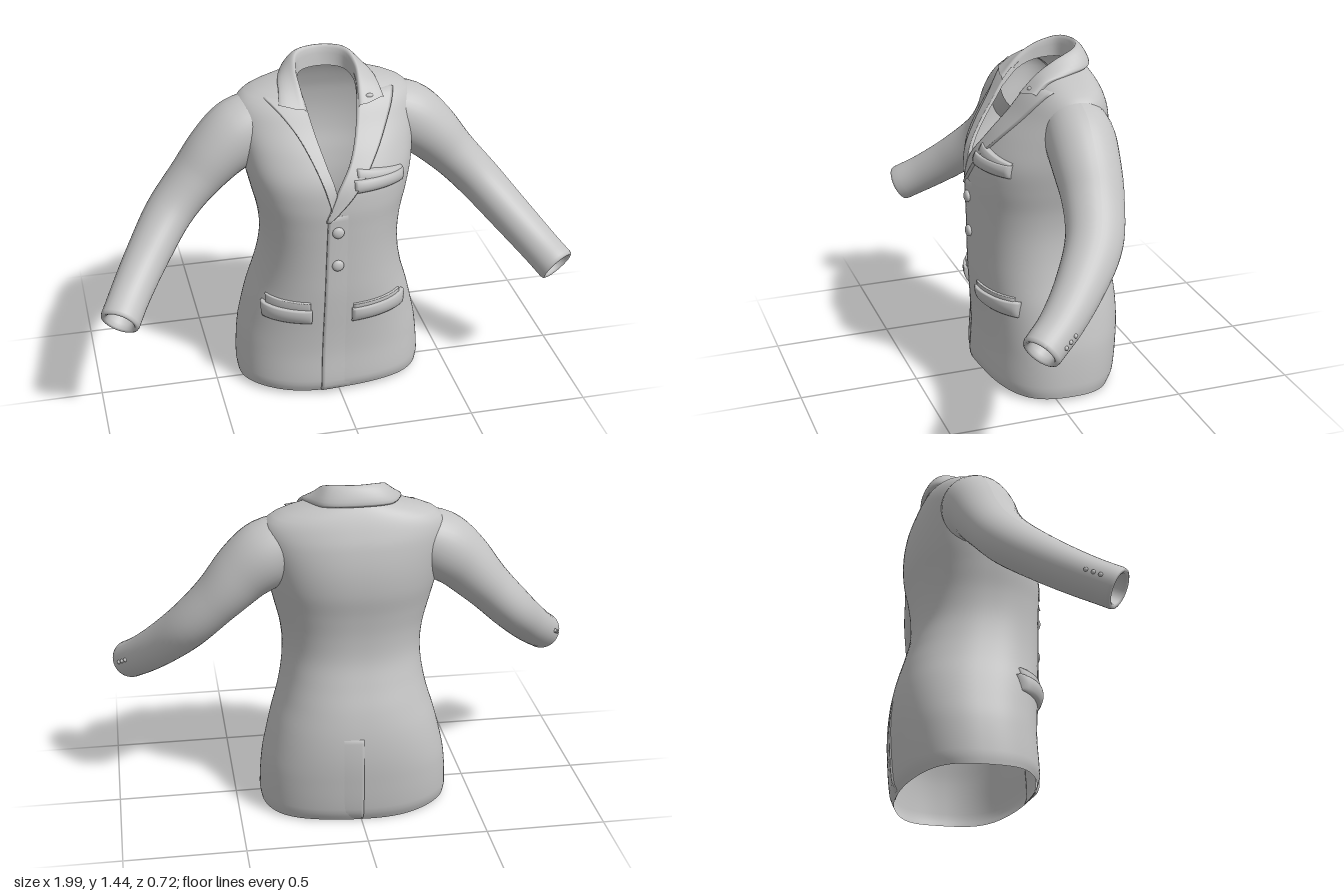
import * as THREE from 'three';

const cloth = new THREE.MeshStandardMaterial({ color: 0xc4c4c4, side: THREE.DoubleSide });
cloth.name = 'grey cloth';

// smooth lookup in a table of rows [key, a, b, ...]
function sample(rows, y) {
  let i = 0;
  while (i < rows.length - 2 && y > rows[i + 1][0]) i++;
  const p1 = rows[i], p2 = rows[i + 1];
  const p0 = rows[i - 1] || p1, p3 = rows[i + 2] || p2;
  const h = p2[0] - p1[0], t = THREE.MathUtils.clamp((y - p1[0]) / h, 0, 1);
  return p1.slice(1).map((a, k) => {
    const b = p2[k + 1];
    const ma = (b - p0[k + 1]) / (p2[0] - p0[0]) * h;
    const mb = (p3[k + 1] - a) / (p3[0] - p1[0]) * h;
    const t2 = t * t, t3 = t2 * t;
    return (2 * t3 - 3 * t2 + 1) * a + (t3 - 2 * t2 + t) * ma + (3 * t2 - 2 * t3) * b + (t3 - t2) * mb;
  });
}

// surface from a rule f(u, v) -> [x, y, z]
function surface(name, nu, nv, f) {
  const pos = [], idx = [];
  for (let j = 0; j <= nv; j++) for (let i = 0; i <= nu; i++) pos.push(...f(i / nu, j / nv));
  for (let j = 0; j < nv; j++) for (let i = 0; i < nu; i++) {
    const a = j * (nu + 1) + i, d = a + nu + 1;
    idx.push(a, a + 1, d, a + 1, d + 1, d);
  }
  const g = new THREE.BufferGeometry();
  g.setAttribute('position', new THREE.Float32BufferAttribute(pos, 3));
  g.setIndex(idx);
  g.computeVertexNormals();
  const m = new THREE.Mesh(g, cloth);
  m.name = name;
  return m;
}

// torso sections: height, half width, front z, back z
const body = [
  [0.01, 0.395, 0.215, -0.325], [0.05, 0.4, 0.228, -0.345], [0.2, 0.39, 0.222, -0.36],
  [0.3, 0.37, 0.225, -0.363], [0.4, 0.345, 0.232, -0.355], [0.5, 0.315, 0.238, -0.335],
  [0.6, 0.295, 0.24, -0.305], [0.7, 0.288, 0.242, -0.28], [0.8, 0.298, 0.245, -0.278],
  [0.9, 0.322, 0.247, -0.29], [1.0, 0.345, 0.232, -0.308], [1.1, 0.36, 0.178, -0.31],
  [1.2, 0.372, 0.105, -0.295], [1.26, 0.365, 0.063, -0.275], [1.3, 0.325, 0.03, -0.258],
  [1.33, 0.245, 0.0, -0.242], [1.355, 0.14, -0.03, -0.225],
];
const POW = 2.35;
// neck opening: height, centre, half gap
const opening = [[0.9, -0.03, 0], [0.965, -0.022, 0], [1.08, -0.005, 0.05], [1.19, 0, 0.086], [1.33, 0, 0.115], [1.36, 0, 0.118]];
const edgeX = (y, s) => { const [c, g] = sample(opening, y); return c + s * Math.max(g, 0); };

// point lying on the front (side 1) or back (side -1) of the torso
function onBody(x, y, off, side = 1) {
  const [w, zf, zb] = sample(body, y);
  const q = Math.min(Math.abs(x) / w, 0.985);
  const z = (zf + zb) / 2 + side * (zf - zb) / 2 * Math.pow(1 - Math.pow(q, POW), 1 / POW);
  const slope = q * q * q * 0.8;
  return [x + Math.sign(x) * off * slope, y, z + side * off];
}

// raised cloth panel; xs(v) -> [xMin, xMax], ys(u, v) -> height
function panel(name, xs, ys, lift, side = 1, nu = 20, nv = 20) {
  const snap = (k, n) => (k <= 1 / n ? 0 : k >= 1 - 1 / n ? 1 : (k - 1 / n) / (1 - 2 / n));
  return surface(name, nu, nv, (u, v) => {
    const rim = u === 0 || u === 1 || v === 0 || v === 1;
    const a = snap(u, nu), b = snap(v, nv);
    const [x0, x1] = xs(b);
    const x = side > 0 ? x0 + (x1 - x0) * a : x1 + (x0 - x1) * a;
    return onBody(x, ys(a, b), rim ? -0.006 : lift(a, b), side);
  });
}

function torso() {
  const top = 1.355, low = 0.01;
  return surface('jacketBody', 96, 72, (u, v) => {
    const y = low + (top - low) * v;
    const [w, zf, zb] = sample(body, y);
    const ang = (s) => {
      const q = edgeX(y, s) / w;
      return Math.asin(Math.sign(q) * Math.pow(Math.min(Math.abs(q), 1), POW / 2));
    };
    const a0 = ang(1), a1 = Math.PI * 2 + ang(-1);
    const a = a0 + (a1 - a0) * u, s = Math.sin(a), c = Math.cos(a);
    const e = 2 / POW;
    const hem = Math.max(0, 1 - v * 14) * (0.008 * c + 0.003 * Math.sin(a * 5));
    return [w * Math.sign(s) * Math.abs(s) ** e, y + hem, (zf + zb) / 2 + (zf - zb) / 2 * Math.sign(c) * Math.abs(c) ** e];
  });
}

function sleeve(side) {
  const group = new THREE.Group();
  group.name = side > 0 ? 'leftSleeve' : 'rightSleeve';
  const dz = side > 0 ? 0 : 0.03;
  const path = new THREE.CatmullRomCurve3([
    [0.26, 1.175, -0.1], [0.34, 1.14, -0.098], [0.435, 1.07, -0.09], [0.54, 0.96, -0.08], [0.66, 0.83, -0.04],
    [0.77, 0.705, 0.06 + dz * 0.4], [0.86, 0.605, 0.17 + dz * 0.8], [0.92, 0.54, 0.265 + dz],
  ].map((p) => new THREE.Vector3(...p)));
  // radius across and radius front to back along the sleeve
  const radii = [[0, 0.125, 0.125], [0.1, 0.14, 0.14], [0.23, 0.123, 0.135], [0.38, 0.102, 0.122],
    [0.55, 0.094, 0.112], [0.75, 0.087, 0.094], [0.92, 0.082, 0.082], [1, 0.082, 0.08]];
  const at = (t, scale, push, a) => {
    const P = path.getPointAt(t), T = path.getTangentAt(t);
    const B = new THREE.Vector3(0, 0, 1).addScaledVector(T, -T.z).normalize();
    const N = B.clone().cross(T);
    const [rn, rb] = sample(radii, t);
    P.addScaledVector(T, push).addScaledVector(N, rn * scale * Math.cos(a)).addScaledVector(B, rb * scale * Math.sin(a));
    return [P.x * side, P.y, P.z];
  };
  // outer cloth, rolled cuff, then the lining
  const rows = [];
  for (let i = 0; i <= 36; i++) rows.push([i / 36, 1, 0]);
  rows.push([1, 0.96, 0.012], [1, 0.86, 0.016], [1, 0.74, 0.01], [1, 0.68, -0.01], [0.93, 0.68, 0], [0.82, 0.7, 0]);
  const n = rows.length - 1;
  group.add(surface('sleeveCloth', 36, n, (u, v) => at(...rows[Math.round(v * n)], side * u * Math.PI * 2)));
  // cuff buttons
  for (let i = 0; i < 3; i++) {
    const b = new THREE.Mesh(new THREE.SphereGeometry(0.009, 10, 8), cloth);
    b.name = 'cuffButton';
    b.position.set(...at(0.9 + i * 0.028, 1, 0, -0.9));
    group.add(b);
  }
  return group;
}

function collar() {
  const line = (half) => {
    const pts = half.map((p) => new THREE.Vector3(...p));
    const other = pts.slice(0, -1).reverse().map((p) => new THREE.Vector3(-p.x, p.y, p.z));
    return new THREE.CatmullRomCurve3([...pts, ...other]);
  };
  // left front edge to centre back
  const lines = [
    line([[0.1, 1.24, 0.065], [0.112, 1.3, 0.0], [0.115, 1.33, -0.07], [0.085, 1.345, -0.155], [0, 1.35, -0.18]]),
    line([[0.112, 1.27, 0.07], [0.122, 1.345, 0.0], [0.125, 1.395, -0.075], [0.095, 1.428, -0.165], [0, 1.435, -0.2]]),
    line([[0.14, 1.275, 0.07], [0.15, 1.345, -0.005], [0.15, 1.385, -0.085], [0.115, 1.415, -0.19], [0, 1.422, -0.222]]),
    line([[0.215, 1.29, 0.045], [0.205, 1.33, -0.01], [0.192, 1.352, -0.1], [0.135, 1.362, -0.215], [0, 1.366, -0.246]]),
    line([[0.213, 1.275, 0.03], [0.2, 1.318, -0.02], [0.186, 1.335, -0.1], [0.13, 1.35, -0.205], [0, 1.354, -0.235]]),
  ];
  return surface('collar', 48, 16, (u, v) => {
    const k = new THREE.CatmullRomCurve3(lines.map((l) => l.getPoint(u)));
    return k.getPoint(1 - v).toArray();
  });
}

// lapel outer edges: height, x
const lapelEdges = {
  1: [[0.85, -0.055], [0.95, 0.04], [1.12, 0.165], [1.24, 0.235], [1.31, 0.265]],
  '-1': [[0.9, -0.045], [1.03, -0.085], [1.165, -0.145], [1.25, -0.205], [1.31, -0.265]],
};
function lapel(side) {
  const edge = lapelEdges[side], y0 = edge[0][0], y1 = 1.305;
  const height = (v) => y0 + (y1 - y0) * v;
  const xs = (v) => {
    const y = height(v), outer = sample(edge, y)[0];
    const inner = y < 0.965 ? Math.min(edgeX(y, side), -0.022 - (0.965 - y) * 0.4) : edgeX(y, side);
    return [Math.min(inner, outer), Math.max(inner, outer)];
  };
  return panel(side > 0 ? 'leftLapel' : 'rightLapel', xs, (u, v) => height(v),
    (u) => 0.008 + 0.008 * (side > 0 ? u : 1 - u), 1, 14, 36);
}

// pocket flap with a fuller lower edge
function flap(name, x0, x1, y0, y1, tilt, bulge) {
  return panel(name, () => [x0, x1], (u, v) => y0 + (y1 - y0) * v - tilt * u,
    (u, v) => 0.006 + bulge * Math.sin(Math.PI * Math.min(1, 0.3 + 0.7 * (1 - v))) ** 0.7 * (1 - 0.4 * Math.abs(2 * u - 1) ** 4), 1, 18, 12);
}

function button(x, y) {
  const b = new THREE.Mesh(new THREE.SphereGeometry(0.025, 20, 12), cloth);
  b.name = 'frontButton';
  b.scale.z = 0.55;
  b.position.set(...onBody(x, y, 0.01));
  return b;
}

export function createModel() {
  const jacket = new THREE.Group();
  jacket.name = 'jacket';
  jacket.add(torso(), collar(), sleeve(1), sleeve(-1), lapel(-1), lapel(1));

  // overlapping front edge
  jacket.add(panel('frontOverlap', (v) => [-0.085 + 0.025 * v, 0.06], (u, v) => 0.022 + 0.85 * v,
    (u) => 0.009 * (1 - u) - 0.004 * u, 1, 12, 40));
  // back vent
  jacket.add(panel('backVent', () => [-0.005, 0.11], (u, v) => 0.012 + 0.38 * v,
    (u, v) => (0.009 * u - 0.004 * (1 - u)) * (1 - v * 0.6), -1, 12, 24));

  jacket.add(
    flap('leftHipFlap', 0.045, 0.285, 0.358, 0.425, -0.004, 0.02),
    flap('rightHipFlap', -0.31, -0.125, 0.362, 0.43, 0, 0.02),
    flap('leftHipWelt', 0.05, 0.265, 0.415, 0.445, 0, 0.005),
    flap('rightHipWelt', -0.295, -0.13, 0.42, 0.465, 0, 0.005),
    flap('breastPocket', 0.05, 0.265, 0.965, 1.02, -0.003, 0.02),
    flap('breastPocketWelt', 0.065, 0.262, 1.012, 1.06, 0.03, 0.014),
    button(-0.02, 0.8), button(-0.02, 0.645),
  );

  // lapel pin
  const pin = new THREE.Mesh(new THREE.SphereGeometry(0.013, 12, 8), cloth);
  pin.name = 'lapelPin';
  pin.scale.set(1.4, 0.8, 0.8);
  pin.position.set(...onBody(0.155, 1.295, 0.018));
  jacket.add(pin);
  return jacket;
}
